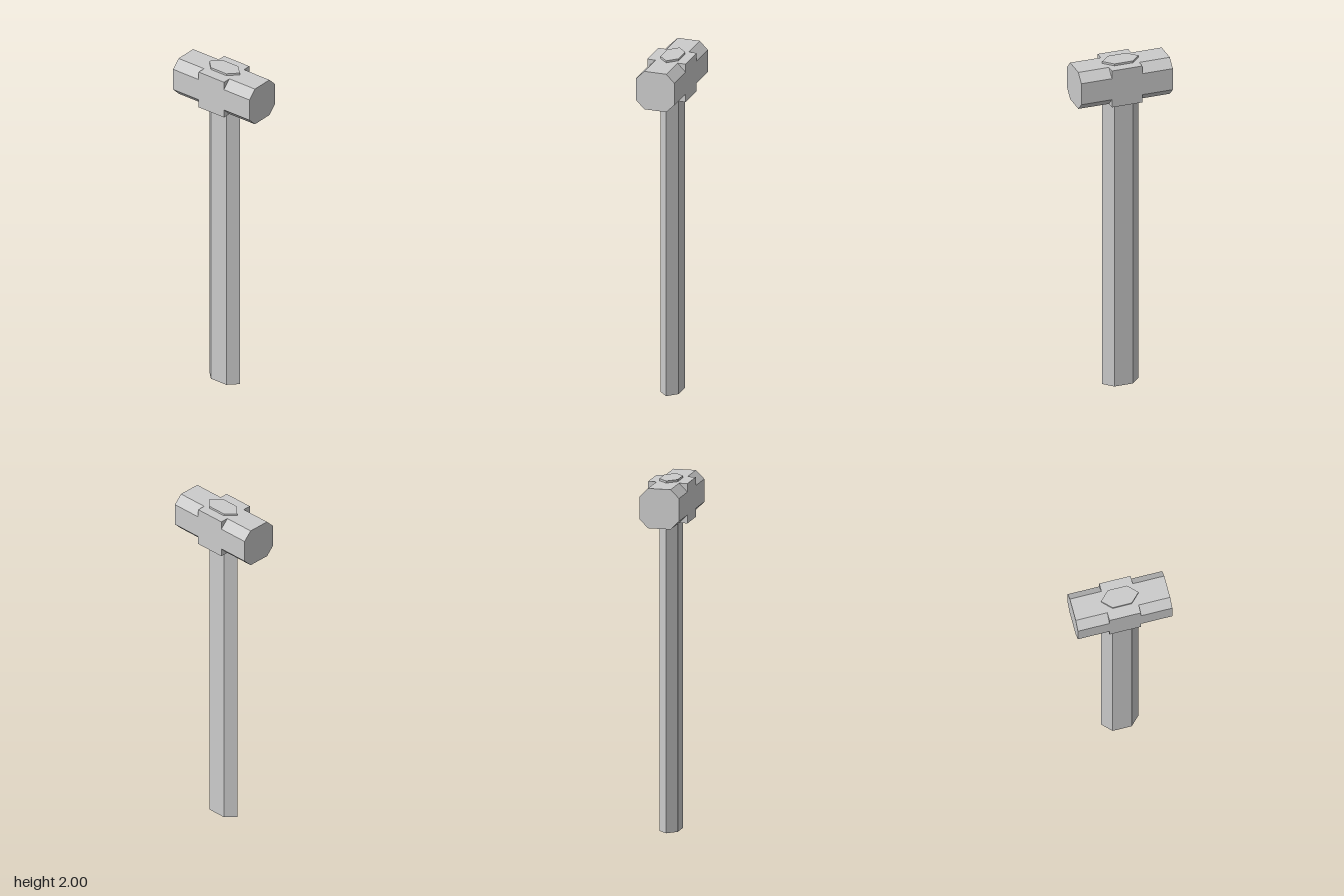
import * as THREE from 'three';

const HEAD_Y = 1.875;   // height of the head's axis
const HALF = 0.113;     // half height and half depth of the head
const CHAMFER = 0.048;
const BLOCK = 0.09;     // half length of the square middle block
const REACH = 0.271;    // half length of the whole head
const HANDLE_Z = -0.005;

const material = new THREE.MeshStandardMaterial({ color: 0xcccccc, flatShading: true });

// Straight prism from a 2D outline, extruded along +z
function prism(name, points, depth) {
  const shape = new THREE.Shape(points.map(([x, y]) => new THREE.Vector2(x, y)));
  const geometry = new THREE.ExtrudeGeometry(shape, { depth, bevelEnabled: false });
  const mesh = new THREE.Mesh(geometry, material);
  mesh.name = name;
  return mesh;
}

export function createModel() {
  const model = new THREE.Group();
  model.name = 'sledgehammer';

  // Handle: flattened hexagonal bar that pokes out of the top of the head
  const handle = prism('handle', [
    [0.108, 0], [0.055, 0.053], [-0.055, 0.053],
    [-0.108, 0], [-0.055, -0.053], [0.055, -0.053],
  ], 2);
  handle.rotation.x = -Math.PI / 2;
  handle.position.z = HANDLE_Z;
  model.add(handle);

  const head = new THREE.Group();
  head.name = 'head';
  head.position.y = HEAD_Y;
  model.add(head);

  // Square middle block
  const block = new THREE.Mesh(new THREE.BoxGeometry(BLOCK * 2, HALF * 2, HALF * 2), material);
  block.name = 'headBlock';
  head.add(block);

  // Chamfered striking ends
  const c = HALF - CHAMFER;
  const octagon = [
    [HALF, -c], [HALF, c], [c, HALF], [-c, HALF],
    [-HALF, c], [-HALF, -c], [-c, -HALF], [c, -HALF],
  ];
  for (const [name, side] of [['leftStrikingEnd', 1], ['rightStrikingEnd', -1]]) {
    const end = prism(name, octagon, REACH - BLOCK);
    end.rotation.y = side * Math.PI / 2;
    end.position.x = side * BLOCK;
    head.add(end);
  }

  return model;
}
